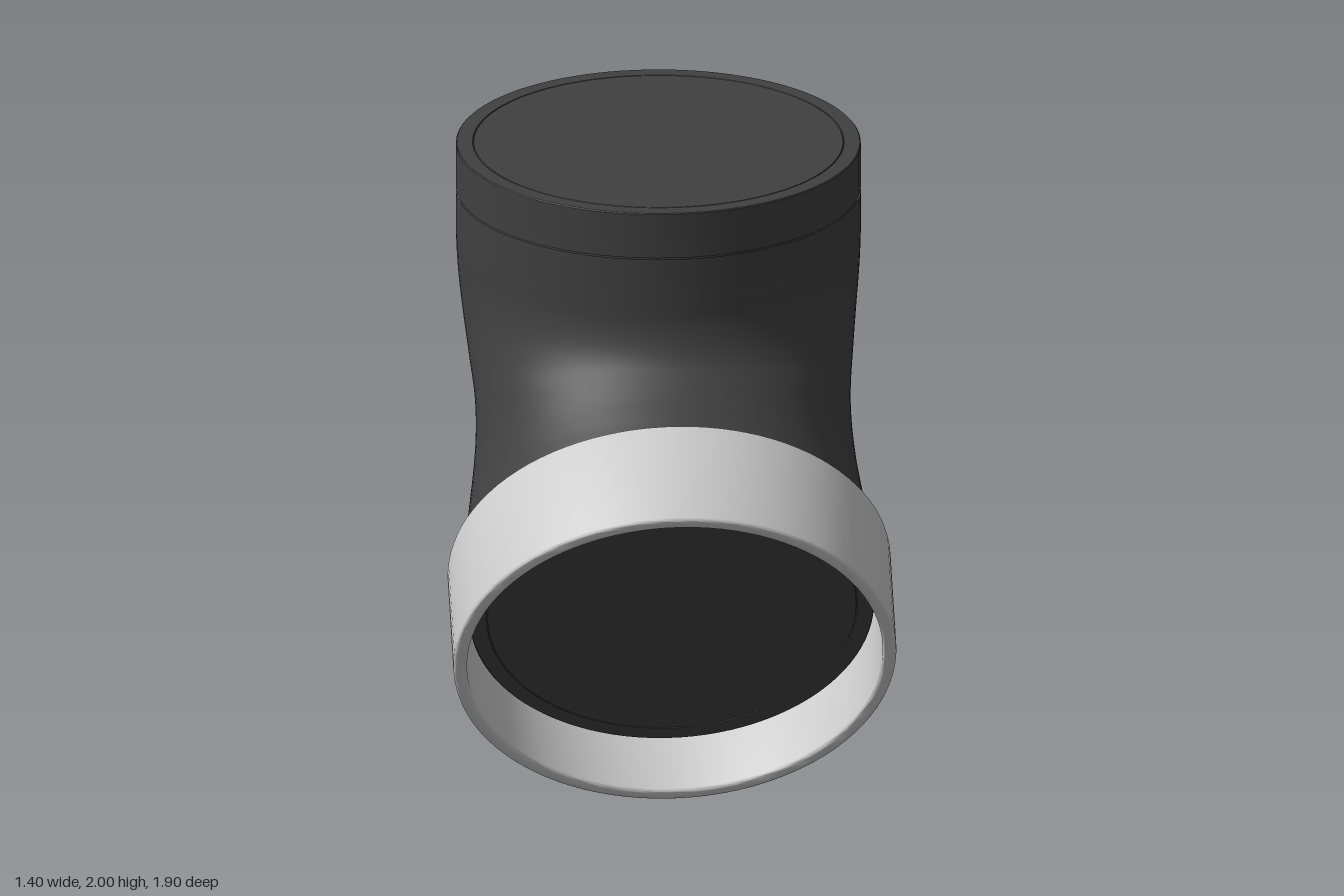
import * as THREE from 'three';
import { toCreasedNormals } from 'three/addons/utils/BufferGeometryUtils.js';

const dark = new THREE.MeshStandardMaterial({ color: 0x404040 });
const grey = new THREE.MeshStandardMaterial({ color: 0xcccccc });
const SIDES = 96;
const R = 0.637;

function lathe(name, points, material) {
  const profile = points.map(([r, y]) => new THREE.Vector2(r, y));
  const mesh = new THREE.Mesh(toCreasedNormals(new THREE.LatheGeometry(profile, SIDES), 0.6), material);
  mesh.name = name;
  return mesh;
}

// Closed end of the pipe: a shallow groove below, an inset disc line on the face (at y = 0)
function endCap(name, length) {
  return lathe(name, [
    [R - 0.006, -length - 0.01], [R - 0.006, -length + 0.005], [R, -length + 0.005],
    [R, -0.003], [R - 0.003, 0], [0.585, 0], [0.583, -0.004], [0.581, 0], [0, 0],
  ], dark);
}

// Bent body lofted through elliptical sections: front z, y; back z, y; half width
function bentPipe() {
  const sections = [
    [0.322, 1.845, -0.95, 1.845, R],
    [0.322, 1.7, -0.95, 1.7, R],
    [0.325, 1.62, -0.935, 1.56, 0.632],
    [0.345, 1.55, -0.87, 1.39, 0.62],
    [0.375, 1.5, -0.72, 1.2, 0.605],
    [0.42, 1.46, -0.57, 1.03, 0.592],
    [0.46, 1.43, -0.5, 0.87, 0.592],
    [0.50, 1.405, -0.44, 0.69, 0.602],
    [0.54, 1.38, -0.36, 0.52, 0.618],
    [0.565, 1.365, -0.27, 0.41, 0.63],
    [0.582, 1.353, -0.17, 0.325, 0.635],
    [0.62, 1.327, -0.016, 0.223, R],
  ];
  const curve = (fn) => new THREE.CatmullRomCurve3(sections.map(fn));
  const front = curve((s) => new THREE.Vector3(0, s[1], s[0]));
  const back = curve((s) => new THREE.Vector3(0, s[3], s[2]));
  const width = curve((s, i) => new THREE.Vector3(s[4], i, 0));

  const steps = 66;
  const positions = [];
  const index = [];
  for (let i = 0; i <= steps; i++) {
    const f = front.getPoint(i / steps);
    const b = back.getPoint(i / steps);
    const w = width.getPoint(i / steps).x;
    const centre = f.clone().add(b).multiplyScalar(0.5);
    const arm = f.clone().sub(centre);
    for (let j = 0; j < SIDES; j++) {
      const a = (j / SIDES) * Math.PI * 2;
      const c = Math.cos(a);
      positions.push(w * Math.sin(a), centre.y + arm.y * c, centre.z + arm.z * c);
      if (i < steps) {
        const p = i * SIDES + j;
        const q = i * SIDES + ((j + 1) % SIDES);
        index.push(p, p + SIDES, q, q, p + SIDES, q + SIDES);
      }
    }
  }
  const geometry = new THREE.BufferGeometry();
  geometry.setAttribute('position', new THREE.Float32BufferAttribute(positions, 3));
  geometry.setIndex(index);
  geometry.computeVertexNormals();
  const mesh = new THREE.Mesh(geometry, dark);
  mesh.name = 'bentPipe';
  return mesh;
}

// Collar ring: rounded rectangle section turned about the outlet axis
function collarRing(inner, outer, depth, bevel) {
  const corners = [
    [outer - bevel, -depth + bevel], [outer - bevel, -bevel],
    [inner + bevel, -bevel], [inner + bevel, -depth + bevel],
  ];
  const points = [];
  corners.forEach(([r, y], k) => {
    for (let n = 0; n <= 4; n++) {
      const a = (k - 1 + n / 4) * Math.PI / 2;
      points.push([r + bevel * Math.cos(a), y + bevel * Math.sin(a)]);
    }
  });
  points.push(points[0]);
  return lathe('collarRing', points, grey);
}

export function createModel() {
  const model = new THREE.Group();
  model.name = 'pipeElbow';
  model.add(bentPipe());

  const topCap = endCap('topCap', 0.155);
  topCap.position.set(0, 2, -0.314);
  model.add(topCap);

  // Outlet faces forward, 30 degrees below horizontal
  const outlet = new THREE.Group();
  outlet.name = 'outlet';
  outlet.position.set(0, 0.602, 0.603);
  outlet.rotation.x = THREE.MathUtils.degToRad(120);
  const outletCap = endCap('outletCap', 0.15);
  outletCap.position.y = -0.2;
  outlet.add(outletCap, collarRing(0.655, 0.698, 0.388, 0.012));
  model.add(outlet);

  return model;
}
